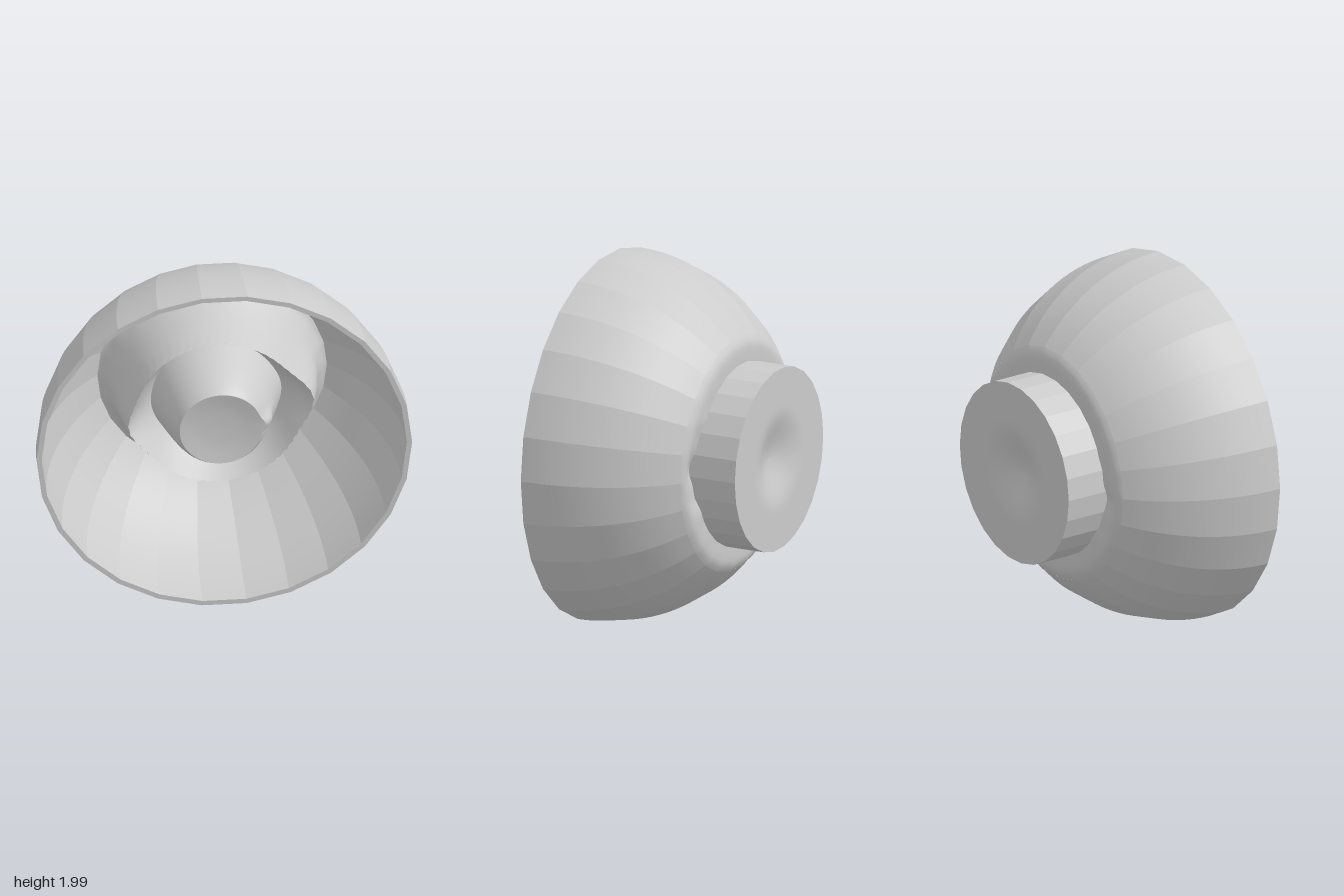
import * as THREE from 'three';

const SIDES = 26;      // facets of the bowl and foot
const FINE = SIDES * 4; // divisions of the sculpted areas
const STEP = (2 * Math.PI) / SIDES;
const material = new THREE.MeshStandardMaterial({ color: 0xcccccc });

// radius factor that turns a circle into the faceted outline
const facet = (a) => Math.cos(STEP / 2) / Math.cos((a % STEP) - STEP / 2);

// soft bump around an angle given in degrees
function lobe(a, centre, width) {
  const c = THREE.MathUtils.degToRad(centre), w = THREE.MathUtils.degToRad(width);
  const d = Math.atan2(Math.sin(a - c), Math.cos(a - c));
  return Math.exp(-((d / w) ** 2));
}

// Sweep a profile of [radius, z] around the z axis; faceted strips are smooth
// along the profile only. The optional warp moves each [r, z, angle].
function revolve(name, profile, sides, faceted, warp) {
  const pos = [], idx = [], n = profile.length;
  const cols = faceted ? sides * 2 : sides;
  for (let j = 0; j < cols; j++) {
    const k = faceted ? Math.floor(j / 2) + (j % 2) : j;
    const a = ((k % sides) / sides) * 2 * Math.PI;
    for (const p of profile) {
      const [r, z] = warp ? warp(p[0], p[1], a) : p;
      pos.push(r * Math.cos(a), 1 + r * Math.sin(a), z);
    }
  }
  for (let j = 0; j < cols; j += faceted ? 2 : 1) {
    const next = (j + 1) % cols;
    for (let i = 0; i < n - 1; i++) {
      const a = j * n + i, b = a + 1, c = next * n + i, d = c + 1;
      idx.push(a, b, c, b, d, c);
    }
  }
  const geometry = new THREE.BufferGeometry();
  geometry.setAttribute('position', new THREE.Float32BufferAttribute(pos, 3));
  geometry.setIndex(idx);
  geometry.computeVertexNormals();
  const mesh = new THREE.Mesh(geometry, material);
  mesh.name = name;
  return mesh;
}

// smooth profile through a few points
function smooth(points, count) {
  const curve = new THREE.SplineCurve(points.map(([r, z]) => new THREE.Vector2(r, z)));
  return curve.getPoints(count).map((p) => [p.x, p.y]);
}

// spherical wall profile between two radii, centred on the rim plane
function dome(R, r0, r1, count) {
  const a0 = Math.acos(r0 / R), a1 = Math.acos(r1 / R);
  return Array.from({ length: count + 1 }, (_, i) => {
    const a = a0 + ((a1 - a0) * i) / count;
    return [R * Math.cos(a), 0.51 - R * Math.sin(a)];
  });
}

// the sculpted centre bulges to both sides and has a slightly ragged ridge
function sculpt(r, z, a) {
  const near = Math.exp(-(((r - 0.45) / 0.08) ** 2));
  const bulge = 0.07 * lobe(a, 8, 18) + 0.045 * lobe(a, 190, 16);
  const tip = Math.exp(-(((r - 0.44) / 0.012) ** 2));
  const ragged = 0.006 * Math.sin(a * 52 + 0.5) * tip;
  const notch = 0.03 * lobe(a, 5, 8) * Math.exp(-(((r - 0.24) / 0.03) ** 2));
  const blend = THREE.MathUtils.smoothstep(r, 0.5, 0.6);
  const radius = r + near * bulge + notch + ragged;
  return [radius * THREE.MathUtils.lerp(1, facet(a), blend), z + ragged];
}

// small dents where the outer wall meets the foot
function dent(r, z, a) {
  const near = 1 - THREE.MathUtils.smoothstep(r, 0.5, 0.64);
  const depth = 0.05 * lobe(a, 3, 18) + 0.025 * lobe(a, 188, 14);
  const ripple = 0.006 * Math.sin(a * 18) * (lobe(a, 0, 35) + lobe(a, 190, 25));
  return [r * facet(a), z + near * (depth + ripple)];
}

export function createModel() {
  const group = new THREE.Group();
  group.name = 'bowl';

  // bowl walls and rim
  group.add(
    revolve('innerWall', dome(0.972, 0.61, 0.972, 16), SIDES, true),
    revolve('rim', [[0.972, 0.51], [1, 0.51]], SIDES, true),
    revolve('outerWall', dome(1, 1, 0.64, 16), SIDES, true),
    revolve('footFillet', smooth([[0.64, -0.258], [0.61, -0.277], [0.57, -0.286], [0.49, -0.286]], 8), FINE, false, dent),
  );

  // raised centre inside the bowl: post, trough and ridge
  group.add(
    revolve('postTop', smooth([[0, 0.29], [0.12, 0.295], [0.22, 0.31]], 8), FINE, false, sculpt),
    revolve('postSide', smooth([[0.22, 0.31], [0.25, 0.26], [0.29, 0.15], [0.34, -0.02]], 10), FINE, false, sculpt),
    revolve('ridgeInside', smooth([[0.34, -0.02], [0.39, 0.06], [0.44, 0.16]], 10), FINE, false, sculpt),
    revolve('ridgeOutside', smooth([[0.44, 0.16], [0.465, 0.06], [0.5, -0.06], [0.54, -0.16], [0.58, -0.225], [0.61, -0.246]], 14), FINE, false, sculpt),
  );

  // foot with a soft dimple in its underside
  const underside = Array.from({ length: 17 }, (_, i) => {
    const r = 0.5 * (1 - i / 16);
    return [r, -0.51 + 0.065 * (1 - THREE.MathUtils.smoothstep(r, 0, 0.28))];
  });
  group.add(
    revolve('footSide', [[0.5, -0.22], [0.5, -0.51]], SIDES, true),
    revolve('footBase', underside, SIDES, false),
  );
  return group;
}
